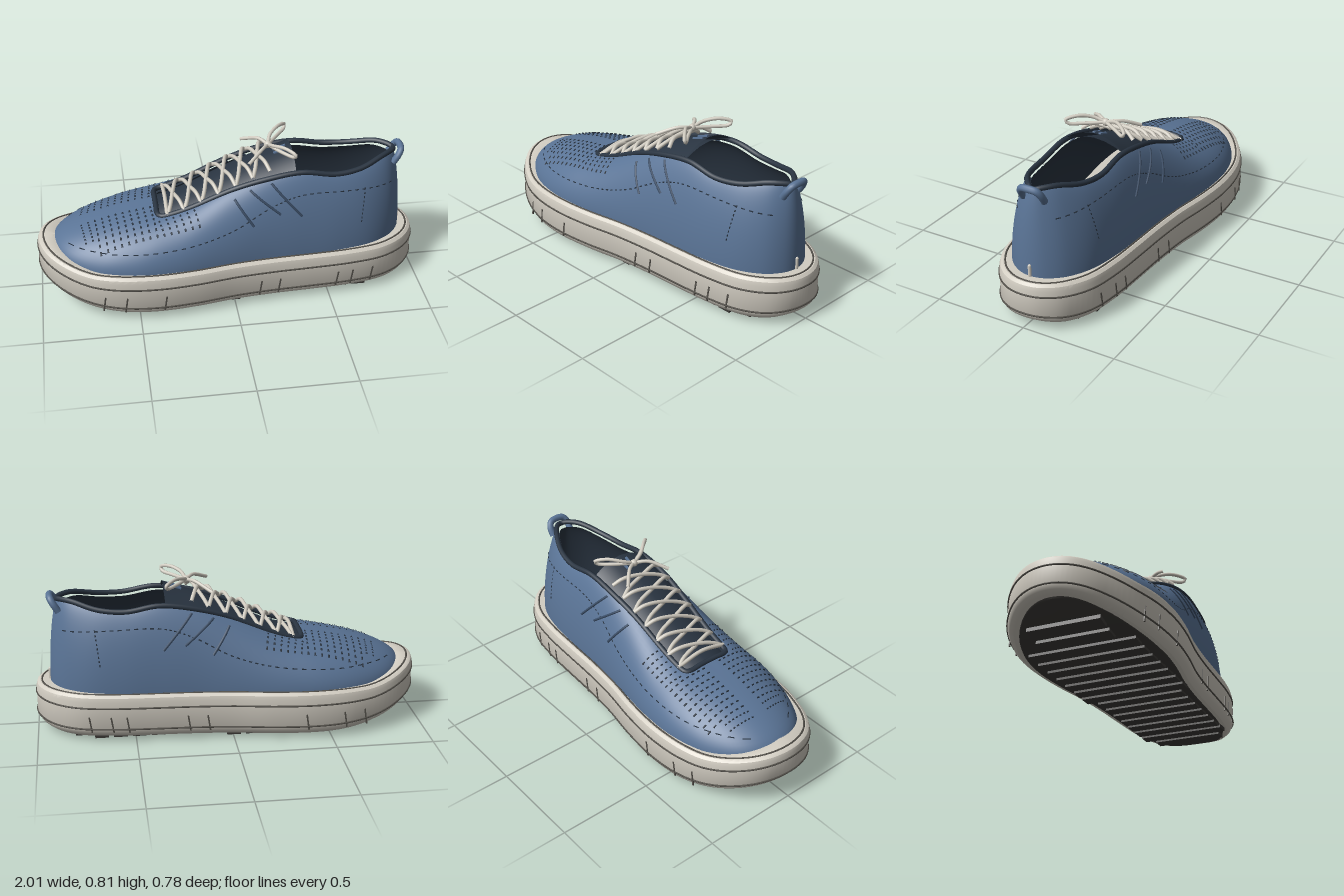
import * as THREE from 'three';
import { mergeGeometries, toCreasedNormals } from 'three/addons/utils/BufferGeometryUtils.js';

const V = (x, y, z) => new THREE.Vector3(x, y, z);
const mat = (color, side = THREE.FrontSide) => new THREE.MeshStandardMaterial({ color, side });
const BLUE = 0x5a7496, NAVY = 0x2a3542, CREAM = 0xd2cdc2, GROOVE = 0x55524c, RUBBER = 0x3d3b38;

// closed curve mirrored across z = 0, from the toe along +z to the heel and back
function mirrored(half) {
  const back = half.slice(1, -1).reverse().map(([x, z, y]) => [x, -z, y]);
  return new THREE.CatmullRomCurve3([...half, ...back].map(([x, z, y = 0]) => V(x, y, z)), true, 'catmullrom', 0.5);
}

// grid surface: n steps along t, m steps across; fn(t, j) gives a point
function loft(n, m, closed, fn) {
  const pos = [], idx = [], cols = closed ? n : n + 1;
  for (let j = 0; j <= m; j++) for (let i = 0; i < cols; i++) pos.push(...fn(i / n, j).toArray());
  for (let j = 0; j < m; j++) for (let i = 0; i < n; i++) {
    const k = (i + 1) % cols, a = j * cols + i, b = j * cols + k;
    idx.push(a, b, b + cols, a, b + cols, a + cols);
  }
  const g = new THREE.BufferGeometry();
  g.setAttribute('position', new THREE.Float32BufferAttribute(pos, 3));
  g.setIndex(idx);
  g.computeVertexNormals();
  return g;
}

const tube = (pts, r, closed = false, sides = 8, steps = pts.length * 4) =>
  new THREE.TubeGeometry(new THREE.CatmullRomCurve3(pts, closed), steps, r, sides, closed);
// short separate stitches along a dense row of points
const dashes = (pts, r) => pts.slice(0, -1).filter((p, i) => i % 2 === 0)
  .map((p, i) => new THREE.TubeGeometry(new THREE.LineCurve3(p, pts[2 * i + 1]), 1, r, 4));
const row = (n, fn) => Array.from({ length: n }, (_, i) => fn(i / (n - 1), i));

// sole plan and its top and bottom heights with toe spring
const soleCurve = mirrored([[-1, 0], [-0.975, 0.12], [-0.9, 0.225], [-0.77, 0.315], [-0.6, 0.37], [-0.4, 0.386],
  [-0.2, 0.37], [0, 0.337], [0.2, 0.318], [0.4, 0.308], [0.6, 0.295], [0.78, 0.262], [0.91, 0.187], [0.98, 0.095], [1, 0]]);
const topY = x => 0.25 + 0.065 * Math.max(0, (-0.7 - x) / 0.3) ** 1.5;
const botY = x => 0.02 + 0.11 * Math.max(0, (-0.4 - x) / 0.6) ** 2.4 + 0.02 * Math.max(0, (x - 0.85) / 0.15) ** 2;
function solePoint(t, inset, f) {
  const p = soleCurve.getPoint(t), d = soleCurve.getTangent(t);
  const x = p.x + d.z * inset, z = p.z - d.x * inset;
  return V(x, THREE.MathUtils.lerp(botY(p.x), topY(p.x), f), z);
}
const soleRing = (inset, f, n = 96) => row(n + 1, t => solePoint(t, inset, f)).slice(0, n);

// upper: base outline paired point by point with the opening edge
const baseCurve = mirrored([[-0.93, 0], [-0.9, 0.12], [-0.82, 0.22], [-0.68, 0.3], [-0.5, 0.343], [-0.3, 0.343], [-0.05, 0.312],
  [0.15, 0.288], [0.35, 0.275], [0.55, 0.26], [0.72, 0.225], [0.84, 0.16], [0.905, 0.08], [0.925, 0]]);
const edgeCurve = mirrored([[-0.38, 0, 0.47], [-0.38, 0.05, 0.47], [-0.38, 0.1, 0.465], [-0.365, 0.135, 0.463], [-0.31, 0.143, 0.475],
  [-0.2, 0.147, 0.512], [0, 0.155, 0.6], [0.18, 0.165, 0.655], [0.36, 0.165, 0.68], [0.53, 0.165, 0.655],
  [0.67, 0.14, 0.663], [0.79, 0.085, 0.693], [0.855, 0.035, 0.695], [0.875, 0, 0.688]]);
const ROWS = 18;
function upperPoint(t, j) {
  const b = baseCurve.getPoint(t), e = edgeCurve.getPoint(t), a = j / ROWS * Math.PI / 2;
  const f = Math.max(0, Math.cos(a)) ** 1.1;
  const g = 0.75 * Math.sin(a) + 0.25 * (1 - f), y0 = topY(b.x) - 0.02;
  return V(e.x + (b.x - e.x) * f, y0 + (e.y - y0) * g, e.z + (b.z - e.z) * f);
}

const tongueLine = new THREE.CatmullRomCurve3([V(-0.4, 0.455, 0), V(-0.2, 0.525, 0), V(0, 0.62, 0),
  V(0.15, 0.685, 0), V(0.25, 0.72, 0), V(0.33, 0.75, 0)]);
const tongueY = x => tongueLine.getPoint(THREE.MathUtils.clamp(
  x < -0.2 ? (x + 0.4) / 1 : x < 0 ? 0.2 + (x + 0.2) : x < 0.15 ? 0.4 + (x / 0.15) * 0.2 : 0.6 + (x - 0.15) * 2, 0, 1)).y;

export function createModel() {
  const shoe = new THREE.Group();
  const add = (name, geo, color, side) => {
    const m = new THREE.Mesh(Array.isArray(geo) ? mergeGeometries(geo) : geo, mat(color, side));
    m.name = name;
    shoe.add(m);
    return m;
  };

  // midsole with rounded wall; first and last rows close onto the centre line
  const wall = [null, [0.1, 0], [0.035, 0], [0.012, 0.08], [0, 0.2], [0, 0.86], [0.006, 0.95], [0.02, 1], [0.07, 1], null];
  const sole = add('midsole', toCreasedNormals(loft(144, wall.length - 1, true, (t, j) => {
    if (wall[j]) return solePoint(t, ...wall[j]);
    const p = solePoint(t, 0.1, j ? 1 : 0);
    return V(p.x, p.y, 0);
  }), 0.6), CREAM);
  add('soleGrooves', [[-0.001, 0.22], [-0.001, 0.72]].map(r => tube(soleRing(...r), 0.005, true, 6, 144)), GROOVE);
  add('weltLine', tube(soleRing(0.03, 1), 0.005, true, 6, 144), GROOVE);

  // outsole patch and tread bars
  add('outsole', loft(96, 2, true, (t, j) => {
    const p = solePoint(t, j === 2 ? 0.055 : 0.06, 0);
    return V(p.x, p.y + (j === 2 ? 0.004 : -0.008), j ? p.z : 0);
  }), RUBBER);
  add('treadBars', row(17, (s, i) => {
    const x = -0.78 + i * 0.097, w = x < -0.65 || x > 0.7 ? 0.19 : x < 0.05 ? 0.28 : 0.235;
    const g = new THREE.BoxGeometry(0.07, 0.024, 2 * w);
    g.rotateZ(Math.atan((botY(x + 0.03) - botY(x - 0.03)) / 0.06));
    return g.translate(x, botY(x) - 0.008, 0);
  }), RUBBER);

  // upper, lining and collar
  const upper = add('upper', loft(160, ROWS, true, upperPoint), BLUE);
  add('lining', loft(120, ROWS, true, (t, j) => {
    const p = upperPoint(t, j);
    return V(p.x * 0.97, p.y - 0.02 * j / ROWS, p.z * 0.93);
  }), NAVY, THREE.DoubleSide);
  add('collar', tube(row(97, t => edgeCurve.getPoint(t)).slice(0, 96), 0.014, true, 8, 160), NAVY);

  // padded tongue: arched strip with thickness
  add('tongue', loft(24, 16, false, (t, j) => {
    const p = tongueLine.getPoint(t), a = j / 16 * Math.PI * 2;
    const z = 0.165 * Math.cos(a);
    return V(p.x, p.y - 0.012 - 2 * z * z + 0.012 * Math.sin(a), z);
  }), NAVY, THREE.DoubleSide);
  add('tongueLoops', [-0.018, 0.018].map(z => new THREE.BoxGeometry(0.07, 0.008, 0.012)
    .rotateZ(0.33).translate(0.27, tongueY(0.27) + 0.004, z)), BLUE);

  // crossing laces over the throat
  const laces = [], lx = i => -0.33 + i * 0.088;
  for (let i = 0; i < 6; i++) for (const s of [1, -1]) {
    const end = (x, z) => V(x, tongueY(x) - 0.012, z);
    const x0 = lx(i), x1 = lx(i + 1), xm = (x0 + x1) / 2;
    laces.push(tube([end(x0, 0.15 * s), V(x0 + 0.02, tongueY(x0) + 0.018, 0.1 * s),
      V(xm, tongueY(xm) + 0.026 + s * 0.006, 0), V(x1 - 0.02, tongueY(x1) + 0.018, -0.1 * s), end(x1, -0.15 * s)], 0.0105));
  }
  laces.push(tube([V(lx(0), 0.475, -0.15), V(lx(0), 0.505, 0), V(lx(0), 0.475, 0.15)], 0.0105));
  add('laces', laces, CREAM);

  // bow: two loops, two tails and a knot
  const bow = [new THREE.SphereGeometry(0.02, 12, 8).translate(0.21, 0.762, 0)];
  for (const s of [1, -1]) {
    bow.push(tube([V(0.21, 0.762, 0), V(0.23, 0.785, 0.06 * s), V(0.28, 0.798, 0.12 * s), V(0.325, 0.782, 0.168 * s),
      V(0.32, 0.765, 0.155 * s), V(0.27, 0.76, 0.09 * s), V(0.21, 0.762, 0)], 0.0095));
    bow.push(tube([V(0.21, 0.762, 0), V(0.17, 0.768, 0.06 * s), V(0.09, 0.73, 0.135 * s)], 0.0095));
  }
  add('bow', bow, CREAM);

  // heel pull loop and heel tab
  const half = [[0.865, 0.635, 0.058], [0.89, 0.675, 0.056], [0.905, 0.7, 0.04]];
  add('pullLoop', tube([...half.map(p => V(...p)), V(0.91, 0.706, 0),
    ...half.reverse().map(([x, y, z]) => V(x, y, -z))], 0.018, false, 10, 32), BLUE);
  add('heelTab', new THREE.CapsuleGeometry(0.009, 0.06, 4, 8).translate(0.925, 0.275, 0), CREAM);

  // details are dropped onto the surface from above or from the side
  const ray = new THREE.Raycaster();
  const hit = (mesh, from, dir) => (ray.set(from, dir), ray.intersectObject(mesh)[0]?.point);
  const onTop = (x, z) => hit(upper, V(x, 2, z), V(0, -1, 0));
  const onSide = (mesh, x, y, s) => hit(mesh, V(x, y, 2 * s), V(0, 0, -s));
  const stitches = [], bands = [], ticks = [];
  const seam = new THREE.CatmullRomCurve3([V(-0.84, 0.335, 0), V(-0.5, 0.345, 0), V(-0.2, 0.375, 0), V(0, 0.43, 0),
    V(0.2, 0.53, 0), V(0.35, 0.575, 0), V(0.6, 0.57, 0), V(0.85, 0.55, 0)]);
  for (const s of [1, -1]) {
    // forefoot perforation rows
    for (let i = 0; i < 17; i++) {
      const x = -0.77 + i * 0.036, z0 = x < -0.4 ? 0.045 : 0.17, z1 = x < -0.7 ? 0.18 : 0.255;
      stitches.push(...dashes(row(x < -0.4 ? 14 : 8, t => onTop(x + 0.02 * t, (z0 + (z1 - z0) * t) * s)).filter(Boolean), 0.005));
    }
    // long side seam and heel counter seam
    stitches.push(...dashes(row(90, t => seam.getPoint(t)).map(p => onSide(upper, p.x, p.y, s)).filter(Boolean), 0.0035));
    stitches.push(...dashes(row(18, t => onSide(upper, 0.69 - 0.02 * t, 0.57 - 0.18 * t, s)).filter(Boolean), 0.0035));
    // slanted side bands
    for (const [x0, y0, x1, y1] of [[0.01, 0.57, 0.1, 0.44], [0.09, 0.61, 0.24, 0.49], [0.2, 0.64, 0.35, 0.47]])
      bands.push(tube(row(8, t => onSide(upper, x0 + (x1 - x0) * t, y0 + (y1 - y0) * t, s)).filter(Boolean), 0.007, false, 6));
    // short sole marks
    for (const x of [-0.68, -0.57, -0.37, 0.13, 0.23, 0.54, 0.62, 0.73]) {
      const p = onSide(sole, x, 0.095, s);
      if (p) ticks.push(new THREE.BoxGeometry(0.008, 0.085, 0.006).rotateZ(-0.15).translate(p.x, p.y, p.z));
    }
  }
  add('stitching', stitches, NAVY);
  add('sideBands', bands, 0x3c4f68);
  add('soleMarks', ticks, GROOVE);
  return shoe;
}
